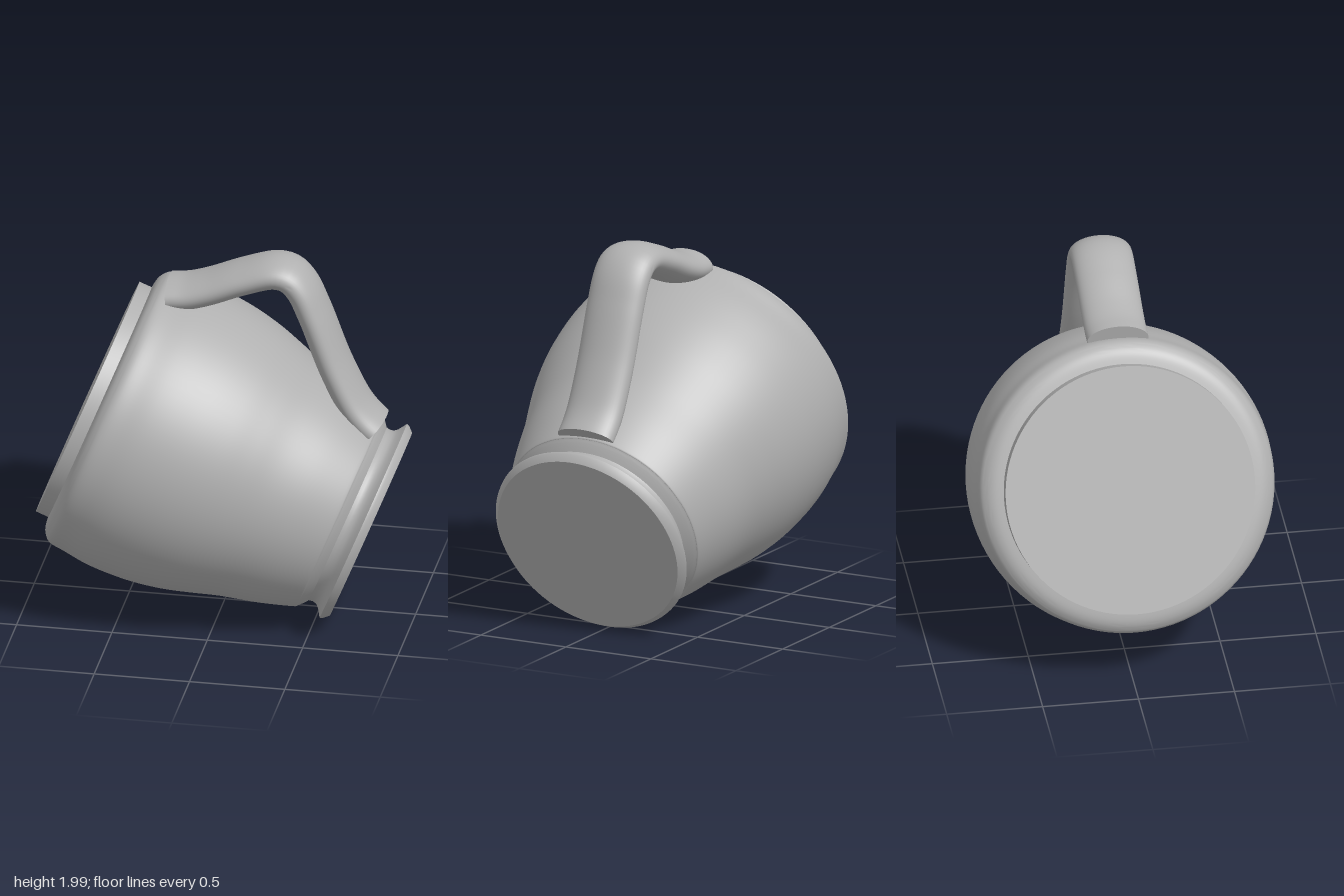
import * as THREE from 'three';
import { toCreasedNormals } from 'three/addons/utils/BufferGeometryUtils.js';

const clay = new THREE.MeshStandardMaterial({ color: 0xb0b0b0 });
clay.name = 'grey clay';

const vec = ([x, y]) => new THREE.Vector2(x, y);

function addMesh(parent, name, geometry, crease) {
  const mesh = new THREE.Mesh(toCreasedNormals(geometry, crease), clay);
  mesh.name = name;
  parent.add(mesh);
}

const lathe = (points) => new THREE.LatheGeometry(points, 96);

export function createModel() {
  const model = new THREE.Group();
  model.name = 'tiltedJug';

  // Vessel turned about its own axis, which tips down towards +x
  const vessel = new THREE.Group();
  vessel.name = 'vessel';
  vessel.position.set(-0.72, 1.095, 0);
  vessel.rotation.z = THREE.MathUtils.degToRad(-112);
  model.add(vessel);

  // Flat disc closing the wide end
  addMesh(vessel, 'baseDisc', lathe([[0, 0], [0.65, 0], [0.65, 0.075]].map(vec)), 0.6);

  // Rounded shoulder, belly and taper down to the neck
  const belly = new THREE.SplineCurve([
    [0.64, 0.068], [0.7, 0.077], [0.74, 0.098], [0.768, 0.135], [0.777, 0.22], [0.789, 0.33], [0.789, 0.45],
    [0.776, 0.6], [0.746, 0.755], [0.703, 0.9], [0.657, 1.042], [0.607, 1.237], [0.552, 1.405],
    [0.538, 1.428], [0.515, 1.45], [0.489, 1.471],
  ].map(vec)).getPoints(75);
  addMesh(vessel, 'body', lathe(belly), 0.7);

  // Grooved neck, flared rim and flat end
  const rim = [
    [0.489, 1.471], [0.485, 1.49], [0.489, 1.512], [0.505, 1.53], [0.53, 1.547],
    [0.548, 1.558], [0.545, 1.572], [0.517, 1.602], [0, 1.602],
  ].map(vec);
  addMesh(vessel, 'rim', lathe(rim), 0.55);

  // Handle: a flat oval swept along a bent path, its ends sunk in the body
  const path = new THREE.CatmullRomCurve3([
    [-0.285, 1.742], [-0.19, 1.752], [-0.08, 1.785], [0.1, 1.858], [0.27, 1.908], [0.345, 1.892],
    [0.405, 1.83], [0.47, 1.69], [0.58, 1.4], [0.68, 1.195], [0.735, 1.12], [0.79, 1.065],
  ].map(([x, y]) => new THREE.Vector3(x, y, 0)));
  const oval = new THREE.Shape().absellipse(0, 0, 0.16, 0.085, 0, Math.PI * 2);
  const handle = new THREE.ExtrudeGeometry(oval, { steps: 64, curveSegments: 24, extrudePath: path });
  addMesh(model, 'handle', handle, 0.8);

  return model;
}
